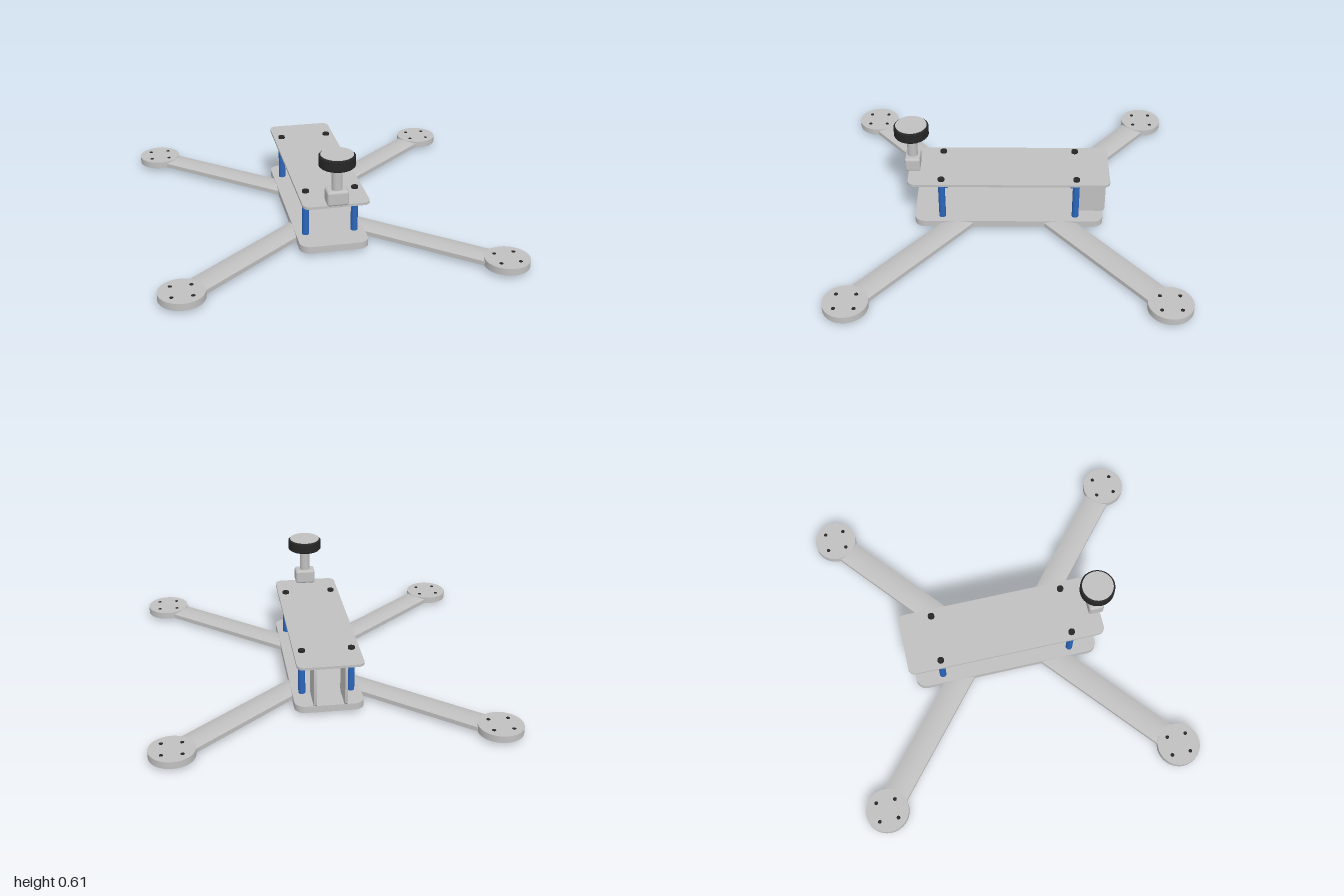
import * as THREE from 'three';
import { RoundedBoxGeometry } from 'three/addons/geometries/RoundedBoxGeometry.js';
import { toCreasedNormals } from 'three/addons/utils/BufferGeometryUtils.js';

export function createModel() {
  const model = new THREE.Group();
  const grey = new THREE.MeshStandardMaterial({ name: 'frame grey', color: 0xc0c0c0 });
  const black = new THREE.MeshStandardMaterial({ name: 'hardware black', color: 0x262626 });
  const blue = new THREE.MeshStandardMaterial({ name: 'standoff blue', color: 0x2a66bb });

  function add(name, geometry, material, x = 0, y = 0, z = 0) {
    const mesh = new THREE.Mesh(geometry, material);
    mesh.name = name;
    mesh.position.set(x, y, z);
    model.add(mesh);
    return mesh;
  }

  // Cylinder standing between two heights
  function post(name, r, y0, y1, x, z, material, sides = 24) {
    return add(name, new THREE.CylinderGeometry(r, r, y1 - y0, sides), material, x, (y0 + y1) / 2, z);
  }

  // Rounded rectangle extruded along z, centred on the origin
  function roundedPlate(w, h, r, thickness) {
    const a = w / 2, b = h / 2;
    const s = new THREE.Shape();
    s.absarc(a - r, b - r, r, 0, Math.PI / 2);
    s.absarc(-a + r, b - r, r, Math.PI / 2, Math.PI);
    s.absarc(-a + r, -b + r, r, Math.PI, Math.PI * 1.5);
    s.absarc(a - r, -b + r, r, Math.PI * 1.5, Math.PI * 2);
    const g = new THREE.ExtrudeGeometry(s, { depth: thickness, bevelEnabled: false, curveSegments: 8 });
    g.translate(0, 0, -thickness / 2);
    return toCreasedNormals(g, 0.6);
  }

  // Body plates
  add('bottomPlate', roundedPlate(0.39, 1.11, 0.06, 0.04).rotateX(-Math.PI / 2), grey, 0, 0.04, 0);
  add('topPlate', roundedPlate(0.372, 1.172, 0.04, 0.015).rotateX(-Math.PI / 2), grey, 0, 0.3125, 0);

  // Arm section: flat underside, low sides and a gently domed top
  const halfWidth = 0.0725;
  const section = new THREE.Shape();
  section.moveTo(-halfWidth, 0.021);
  section.lineTo(halfWidth, 0.021);
  section.lineTo(halfWidth, 0.046);
  section.quadraticCurveTo(0, 0.071, -halfWidth, 0.046);
  section.closePath();
  const armStart = new THREE.Vector2(0.06, 0.19);
  const armEnd = new THREE.Vector2(0.875, 0.88);
  const armSpan = armEnd.clone().sub(armStart);
  const armGeometry = toCreasedNormals(new THREE.ExtrudeGeometry(section, {
    depth: armSpan.length(), bevelEnabled: false, curveSegments: 12,
  }), 0.6);

  for (const sx of [-1, 1]) {
    for (const sz of [-1, 1]) {
      // Arm and motor mount
      const arm = add('arm', armGeometry, grey, sx * armStart.x, 0, sz * armStart.y);
      arm.rotation.y = Math.atan2(sx * armSpan.x, sz * armSpan.y);
      post('motorMount', 0.125, 0.02, 0.06, sx * 0.875, sz * 0.875, grey, 48);

      // Motor screw holes, seen on both faces of the mount
      for (const dx of [-0.055, 0.055]) {
        for (const dz of [-0.055, 0.055]) {
          post('motorScrewHole', 0.011, 0.0185, 0.0615, sx * 0.875 + dx, sz * 0.875 + dz, black, 12);
        }
      }

      // Standoff with a screw head at each end
      post('standoff', 0.02, 0.06, 0.305, sx * 0.14, sz * 0.392, blue);
      post('topScrew', 0.0195, 0.318, 0.332, sx * 0.14, sz * 0.392, black);
      post('bottomScrew', 0.0195, 0, 0.022, sx * 0.14, sz * 0.392, black);
    }

    // Upright side panels at the rear
    add('rearPanel', roundedPlate(0.17, 0.245, 0.02, 0.015).rotateY(Math.PI / 2),
      grey, sx * 0.086, 0.1825, -0.483);
  }

  // Antenna at the front: foot, block, stem and cap
  const antennaZ = 0.562;
  post('antennaFoot', 0.03, 0.308, 0.33, 0, antennaZ, grey);
  add('antennaBlock', new RoundedBoxGeometry(0.12, 0.085, 0.09, 3, 0.014), grey, 0, 0.364, antennaZ);
  post('antennaStem', 0.03, 0.4, 0.545, 0, antennaZ, grey);
  const capProfile = [[0, 0.543], [0.094, 0.543], [0.1, 0.549], [0.1, 0.603], [0.094, 0.609], [0, 0.609]]
    .map(([r, y]) => new THREE.Vector2(r, y));
  add('antennaCap', toCreasedNormals(new THREE.LatheGeometry(capProfile, 40), 0.5), black, 0, 0, antennaZ);
  post('antennaCapDisc', 0.09, 0.606, 0.612, 0, antennaZ, grey, 40);

  return model;
}
